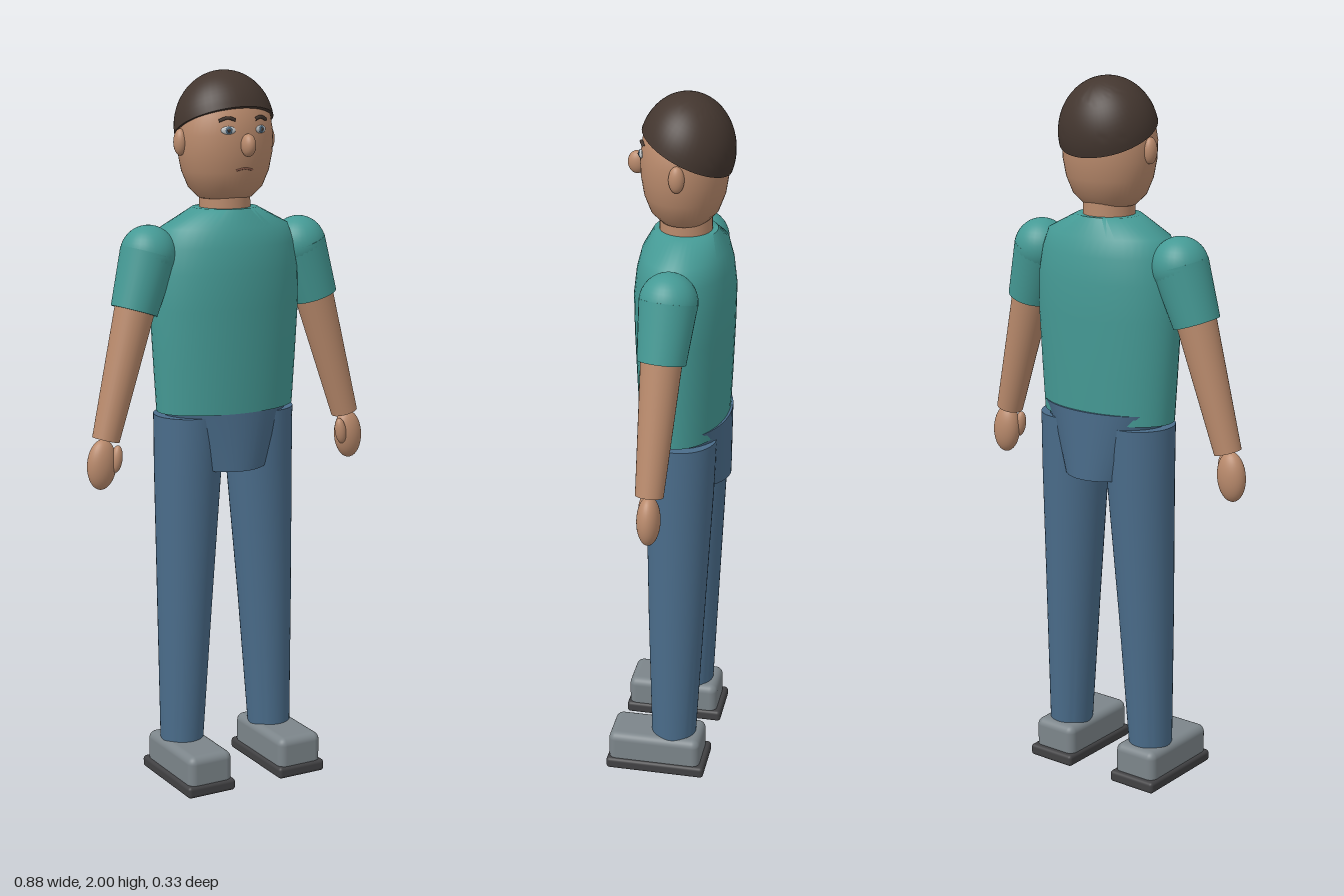
import * as THREE from 'three';
import { toCreasedNormals } from 'three/addons/utils/BufferGeometryUtils.js';
import { RoundedBoxGeometry } from 'three/addons/geometries/RoundedBoxGeometry.js';

const paint = (name, color) => {
  const m = new THREE.MeshStandardMaterial({ color });
  m.name = name;
  return m;
};

// Closed surface through elliptical rings [y, rx, rz, cx, cz], listed bottom to top
function loft(rings, sides = 40) {
  const first = rings[0], last = rings[rings.length - 1];
  const all = [[first[0], 0, 0, first[3], first[4]], ...rings, [last[0], 0, 0, last[3], last[4]]];
  const pos = [], index = [];
  all.forEach(([y, rx, rz, cx = 0, cz = 0], j) => {
    for (let i = 0; i < sides; i++) {
      const t = (i / sides) * Math.PI * 2;
      pos.push(cx + rx * Math.cos(t), y, cz + rz * Math.sin(t));
      if (j === 0) continue;
      const n = (i + 1) % sides, lo = (j - 1) * sides, hi = j * sides;
      if (j > 1) index.push(lo + i, hi + i, lo + n);
      if (j < all.length - 1) index.push(lo + n, hi + i, hi + n);
    }
  });
  const g = new THREE.BufferGeometry();
  g.setAttribute('position', new THREE.Float32BufferAttribute(pos, 3));
  g.setIndex(index);
  return toCreasedNormals(g, 0.9);
}

export function createModel() {
  const model = new THREE.Group();
  model.name = 'standingMan';
  const skin = paint('skin', 0xb98a6c);
  const shirt = paint('teal shirt', 0x459a95);
  const denim = paint('blue denim', 0x4a6c8a);
  const hair = paint('dark brown hair', 0x43362f);
  const shoeGrey = paint('shoe grey', 0x7c858a);
  const soleGrey = paint('sole grey', 0x414143);
  const eyeWhite = paint('eye white', 0xc4c8ca);
  const iris = paint('iris blue', 0x4a6478);
  const lip = paint('lip', 0x8a5a4a);

  const add = (name, geo, mat, x = 0, y = 0, z = 0) => {
    const m = new THREE.Mesh(geo, mat);
    m.name = name;
    m.position.set(x, y, z);
    model.add(m);
    return m;
  };
  const ball = (name, mat, [x, y, z], [rx, ry, rz]) => {
    const m = add(name, new THREE.SphereGeometry(1, 32, 20), mat, x, y, z);
    m.scale.set(rx, ry, rz);
    return m;
  };
  // Tapered cylinder from a (upper) to b (lower)
  const limb = (name, mat, a, b, ra, rb) => {
    const p = new THREE.Vector3(...a), q = new THREE.Vector3(...b);
    const d = q.clone().sub(p);
    const m = add(name, new THREE.CylinderGeometry(ra, rb, d.length(), 32), mat);
    m.position.copy(p).add(q).multiplyScalar(0.5);
    m.quaternion.setFromUnitVectors(new THREE.Vector3(0, -1, 0), d.normalize());
    return m;
  };
  const line = (name, mat, pts, r) => add(name, new THREE.TubeGeometry(
    new THREE.CatmullRomCurve3(pts.map(p => new THREE.Vector3(...p))), 10, r, 6), mat);

  // Torso and hips
  add('shirtBody', loft([
    [1.07, 0.207, 0.122], [1.2, 0.215, 0.128], [1.36, 0.224, 0.134], [1.46, 0.22, 0.136],
    [1.53, 0.208, 0.128], [1.58, 0.19, 0.115], [1.63, 0.092, 0.086],
  ], 48), shirt, 0, 0, -0.03);
  add('hips', loft([[0.905, 0.115, 0.125], [1.1, 0.2, 0.125]], 48), denim, 0, 0, -0.035);

  // Neck and head
  add('neck', new THREE.CylinderGeometry(0.07, 0.072, 0.12, 32), skin, 0, 1.64, -0.03);
  add('head', loft([
    [1.65, 0.055, 0.046], [1.658, 0.077, 0.066], [1.685, 0.105, 0.091], [1.73, 0.124, 0.108],
    [1.78, 0.134, 0.116], [1.83, 0.136, 0.118], [1.88, 0.128, 0.111], [1.93, 0.1, 0.088],
    [1.97, 0.05, 0.044],
  ], 48), skin, 0, 0, -0.027);
  ball('nose', skin, [0, 1.805, 0.102], [0.019, 0.031, 0.025]);
  line('mouth', lip, [[-0.025, 1.737, 0.079], [0, 1.742, 0.083], [0.025, 1.737, 0.079]], 0.003);

  // Hair cap, tilted so it sits high in front and low at the back
  const dome = [new THREE.Vector2(0, 0)];
  for (let i = 0; i <= 16; i++) {
    const t = (i / 16) * Math.PI / 2;
    dome.push(new THREE.Vector2(i === 16 ? 0 : Math.cos(t), Math.sin(t)));
  }
  const cap = new THREE.LatheGeometry(dome, 48).rotateX(-0.39).scale(0.14, 0.15, 0.128);
  add('hairCap', toCreasedNormals(cap, 0.9), hair, 0, 1.85, -0.033);

  for (const s of [-1, 1]) {
    const side = s > 0 ? 'left' : 'right';

    // Face details
    ball(side + 'Ear', skin, [s * 0.137, 1.81, -0.03], [0.018, 0.036, 0.021]);
    ball(side + 'Eye', eyeWhite, [s * 0.05, 1.845, 0.081], [0.02, 0.011, 0.005]).rotation.y = s * 0.35;
    ball(side + 'Iris', iris, [s * 0.05, 1.845, 0.084], [0.01, 0.01, 0.004]).rotation.y = s * 0.35;
    ball(side + 'Pupil', hair, [s * 0.05, 1.845, 0.0865], [0.005, 0.005, 0.003]);
    line(side + 'Brow', hair,
      [[s * 0.03, 1.872, 0.083], [s * 0.05, 1.878, 0.079], [s * 0.072, 1.87, 0.068]], 0.005);

    // Arm
    ball(side + 'Shoulder', shirt, [s * 0.237, 1.512, -0.029], [0.078, 0.08, 0.078]);
    limb(side + 'Sleeve', shirt, [s * 0.237, 1.515, -0.029], [s * 0.286, 1.362, -0.02], 0.078, 0.065);
    limb(side + 'Forearm', skin, [s * 0.275, 1.4, -0.021], [s * 0.383, 1.017, -0.006], 0.057, 0.038);
    ball(side + 'Hand', skin, [s * 0.396, 0.95, -0.006], [0.042, 0.07, 0.032]).rotation.z = s * 0.08;
    ball(side + 'Thumb', skin, [s * 0.36, 0.965, 0.012], [0.016, 0.038, 0.017]).rotation.z = s * 0.15;

    // Leg
    add(side + 'Leg', loft([
      [0.09, 0.06, 0.064, s * 0.145, -0.025], [0.5, 0.077, 0.08, s * 0.131, -0.03],
      [0.9, 0.095, 0.094, s * 0.115, -0.037], [1.06, 0.1, 0.1, s * 0.11, -0.037],
    ]), denim);

    // Shoe
    add(side + 'ShoeUpper', new RoundedBoxGeometry(0.136, 0.1, 0.27, 4, 0.022), shoeGrey, s * 0.146, 0.066, 0.024);
    add(side + 'ShoeSole', new RoundedBoxGeometry(0.15, 0.034, 0.29, 3, 0.01), soleGrey, s * 0.147, 0.017, 0.02);
  }
  return model;
}
